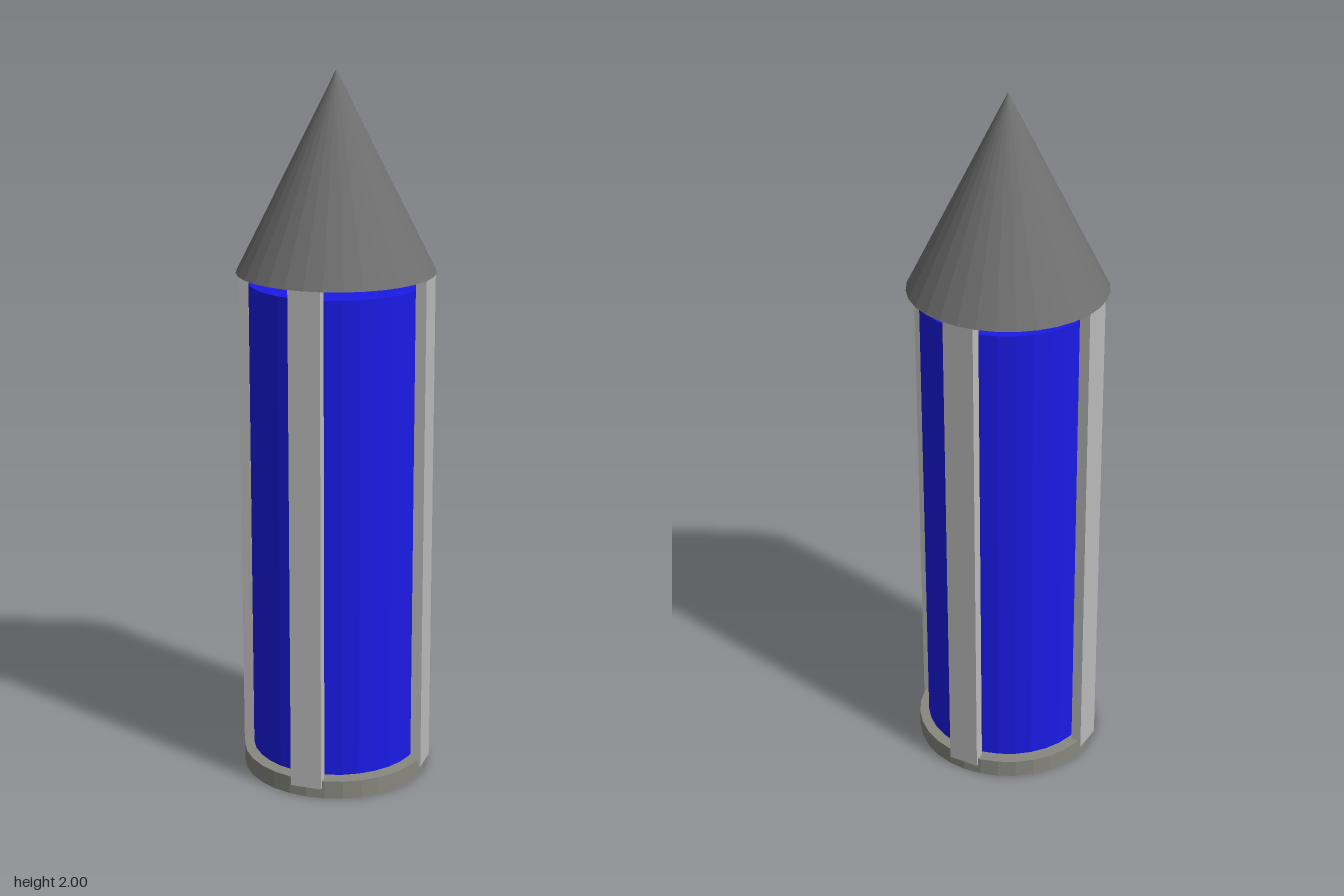
import * as THREE from 'three';

const SIDES = 32;

function part(name, geometry, color, y) {
  const mesh = new THREE.Mesh(
    geometry,
    new THREE.MeshStandardMaterial({ color, flatShading: true })
  );
  mesh.name = name;
  mesh.position.y = y;
  return mesh;
}

// closed round part between two heights
function round(name, topRadius, bottomRadius, y0, y1, color) {
  const geometry = topRadius === 0
    ? new THREE.ConeGeometry(bottomRadius, y1 - y0, SIDES)
    : new THREE.CylinderGeometry(topRadius, bottomRadius, y1 - y0, SIDES);
  return part(name, geometry, color, (y0 + y1) / 2);
}

export function createModel() {
  const model = new THREE.Group();
  model.name = 'tower';

  // base disc, floating core and pointed roof
  model.add(round('base', 0.267, 0.267, 0, 0.052, 0x888880));
  model.add(round('core', 0.24, 0.24, 0.06, 1.425, 0x1a1ae6));
  model.add(round('roof', 0, 0.275, 1.455, 2, 0x707070));

  // four upright strips joining base and roof
  const bottom = 0.03, top = 1.455;
  for (let i = 0; i < 4; i++) {
    const strip = part('strip', new THREE.BoxGeometry(0.09, top - bottom, 0.03), 0xbbbbbb, (bottom + top) / 2);
    const angle = i * Math.PI / 2;
    strip.position.x = Math.sin(angle) * 0.255;
    strip.position.z = Math.cos(angle) * 0.255;
    strip.rotation.y = angle;
    model.add(strip);
  }
  return model;
}
